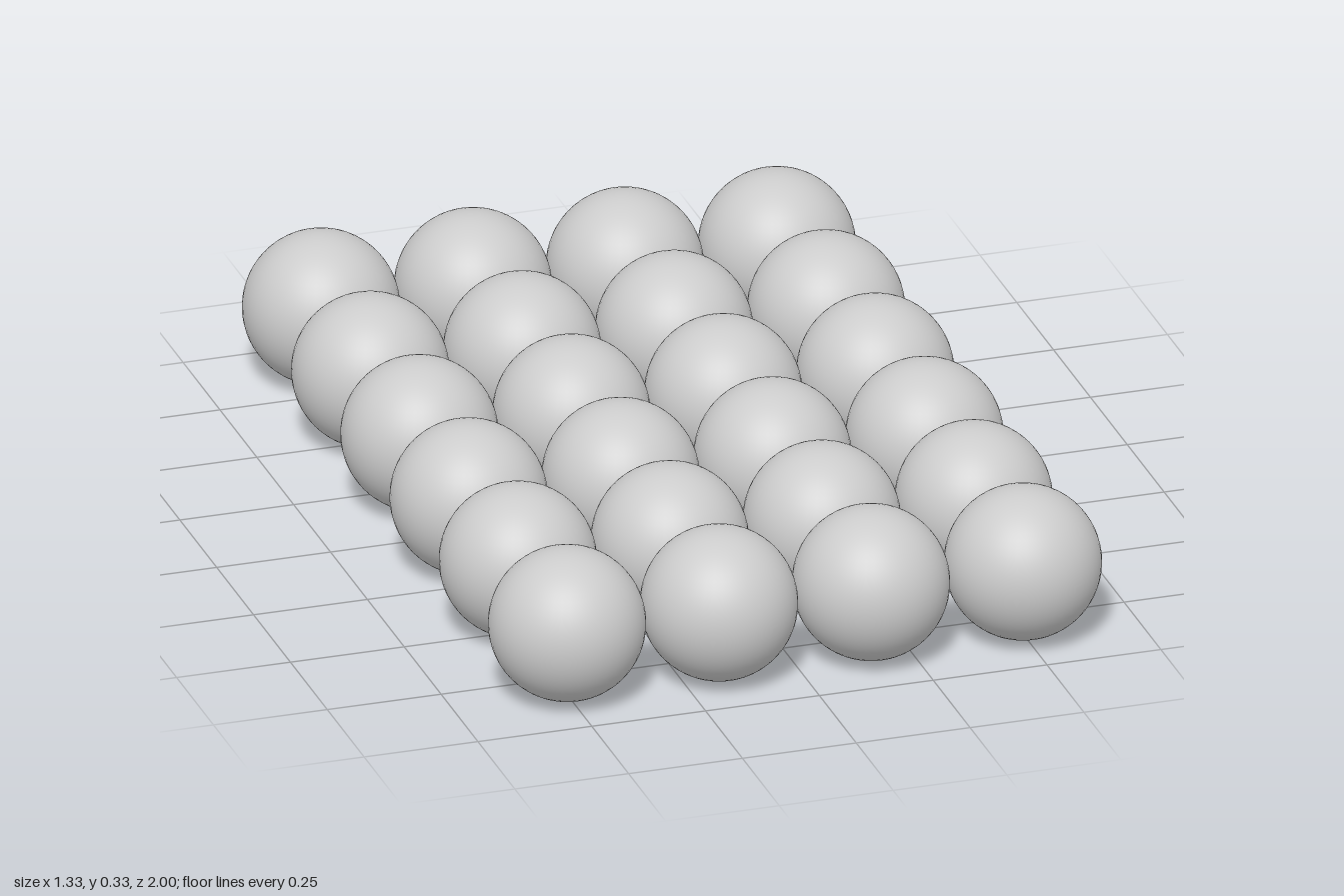
import * as THREE from 'three';

const COLUMNS = 4;
const ROWS = 6;
const RADIUS = 0.1655;
const SPACING = (2 - 2 * RADIUS) / (ROWS - 1); // leaves a hairline gap between balls

export function createModel() {
  const model = new THREE.Group();
  model.name = 'ballGrid';

  const material = new THREE.MeshStandardMaterial({ color: 0xcccccc });
  const geometry = new THREE.SphereGeometry(RADIUS, 48, 32);

  // Flat grid of equal balls, row by row from back to front
  for (let r = 0; r < ROWS; r++) {
    const row = new THREE.Group();
    row.name = `row${r + 1}`;
    row.position.z = (r - (ROWS - 1) / 2) * SPACING;
    for (let c = 0; c < COLUMNS; c++) {
      const ball = new THREE.Mesh(geometry, material);
      ball.name = `ball${r + 1}_${c + 1}`;
      ball.position.set((c - (COLUMNS - 1) / 2) * SPACING, RADIUS, 0);
      row.add(ball);
    }
    model.add(row);
  }
  return model;
}
